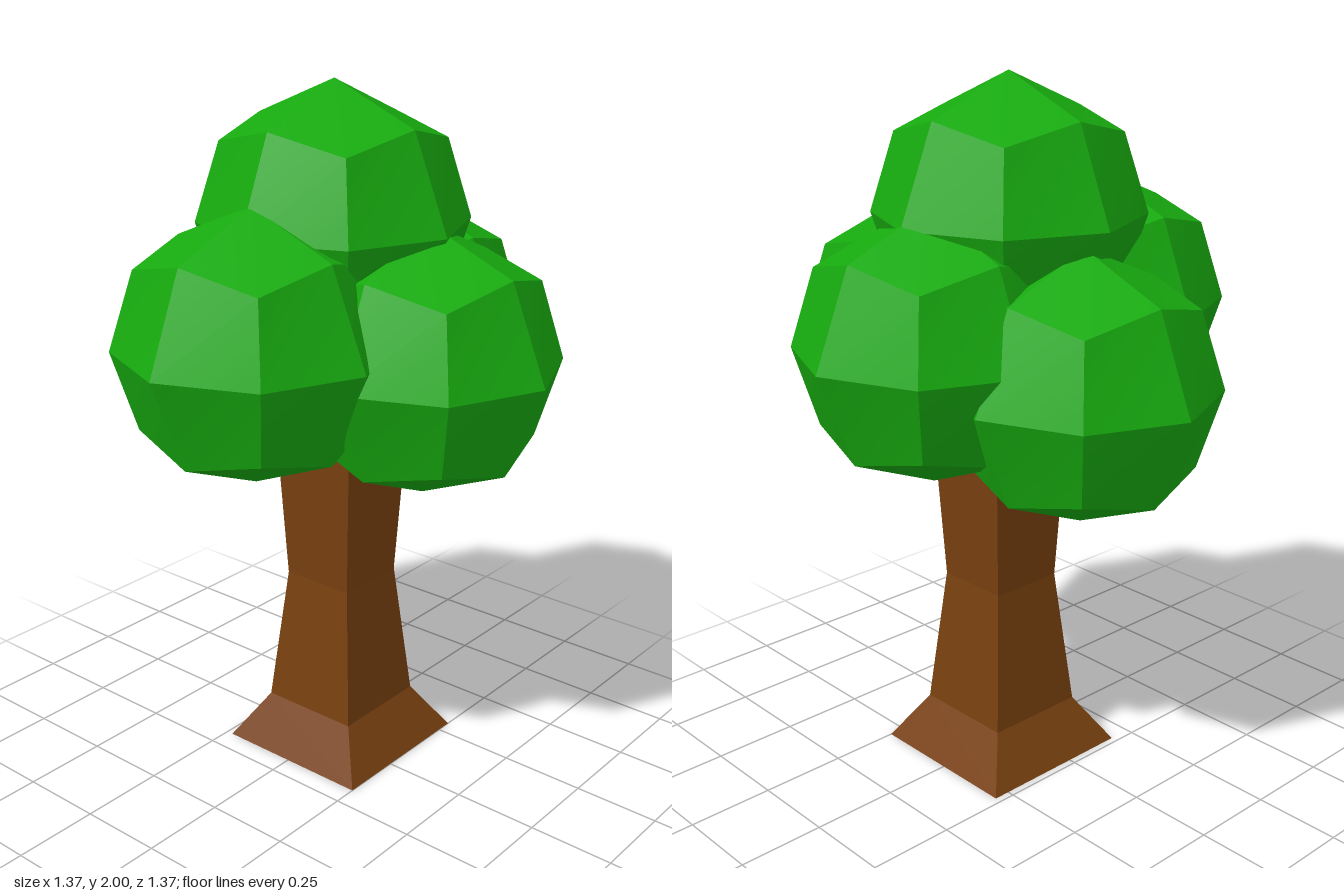
import * as THREE from 'three';
import { toCreasedNormals } from 'three/addons/utils/BufferGeometryUtils.js';

const leafMaterial = new THREE.MeshStandardMaterial({ color: 0x17aa0f });
const barkMaterial = new THREE.MeshStandardMaterial({ color: 0x78400f });

// Cube split 2 x 2 per face, with every vertex pushed out to a sphere
function createLeafGeometry(radius) {
  const geometry = new THREE.BoxGeometry(1, 1, 1, 2, 2, 2);
  const position = geometry.attributes.position;
  const v = new THREE.Vector3();
  for (let i = 0; i < position.count; i++) {
    v.fromBufferAttribute(position, i).setLength(radius);
    position.setXYZ(i, v.x, v.y, v.z);
  }
  return toCreasedNormals(geometry, 0.4);
}

// Square trunk: [half width, height] from the flared foot upward
function createTrunk() {
  const sections = [[0, 0], [0.24, 0], [0.153, 0.14], [0.112, 0.55], [0.14, 1.1], [0, 1.1]];
  const profile = sections.map(([half, y]) => new THREE.Vector2(half * Math.SQRT2, y));
  const geometry = new THREE.LatheGeometry(profile, 4, Math.PI / 4);
  const trunk = new THREE.Mesh(toCreasedNormals(geometry, 0.02), barkMaterial);
  trunk.name = 'trunk';
  trunk.position.set(0.058, 0, 0.01);
  return trunk;
}

export function createModel() {
  const tree = new THREE.Group();
  tree.name = 'tree';
  tree.add(createTrunk());

  // Five overlapping leaf clumps
  const clumps = {
    topFoliage: [0.025, 1.62, 0.006],
    leftFoliage: [0.307, 1.29, 0.006],
    rightFoliage: [-0.307, 1.33, 0.006],
    frontFoliage: [0.05, 1.267, 0.307],
    backFoliage: [0.05, 1.193, -0.307],
  };
  const leafGeometry = createLeafGeometry(0.38);
  for (const [name, place] of Object.entries(clumps)) {
    const clump = new THREE.Mesh(leafGeometry, leafMaterial);
    clump.name = name;
    clump.position.set(...place);
    tree.add(clump);
  }
  return tree;
}
